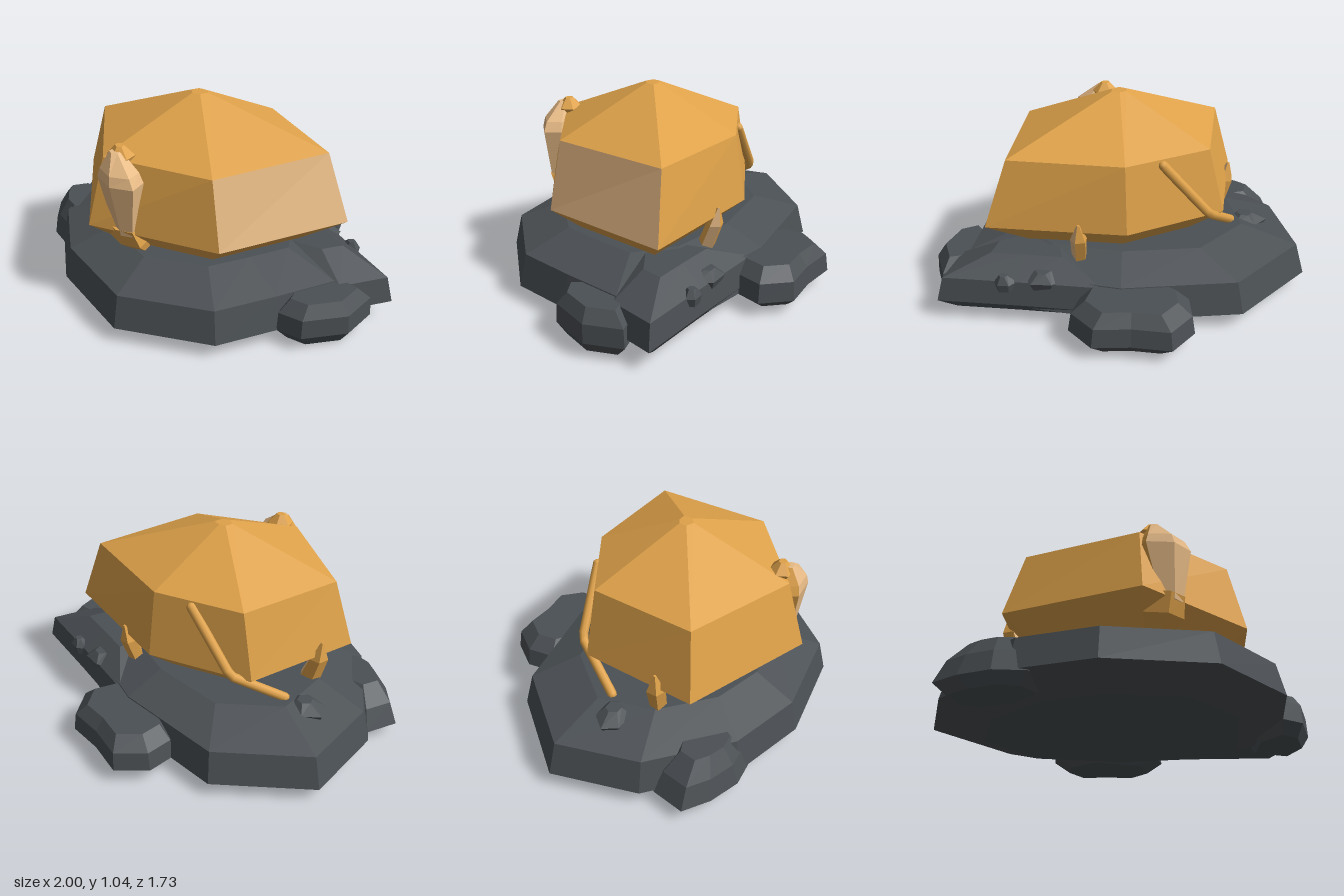
import * as THREE from 'three';

// Closed faceted solid from rings of [x, y, z]; rings run bottom to top.
// Facets whose normal passes isPale use the second material.
function loft(rings, isPale) {
  const n = rings[0].length;
  let area = 0;
  const widest = rings[1];
  for (let i = 0; i < n; i++) {
    const a = widest[i], b = widest[(i + 1) % n];
    area += a[2] * b[0] - b[2] * a[0];
  }
  const rs = area > 0 ? rings : rings.map((r) => [...r].reverse());
  const pos = [];
  const tri = (a, b, c) => pos.push(...a, ...b, ...c);
  const mid = (r) => [0, 1, 2].map((k) => r.reduce((s, p) => s + p[k], 0) / n);
  const bottom = rs[0], top = rs[rs.length - 1];
  const cb = mid(bottom), ct = mid(top);
  for (let i = 0; i < n; i++) {
    const j = (i + 1) % n;
    for (let k = 0; k < rs.length - 1; k++) {
      tri(rs[k][i], rs[k][j], rs[k + 1][j]);
      tri(rs[k][i], rs[k + 1][j], rs[k + 1][i]);
    }
    tri(cb, bottom[j], bottom[i]);
    tri(ct, top[i], top[j]);
  }
  const g = new THREE.BufferGeometry();
  g.setAttribute('position', new THREE.Float32BufferAttribute(pos, 3));
  g.computeVertexNormals();
  if (isPale) {
    const normal = new THREE.Vector3();
    for (let v = 0; v < pos.length / 3; v += 3) {
      normal.fromBufferAttribute(g.attributes.normal, v);
      g.addGroup(v, 3, isPale(normal) ? 1 : 0);
    }
  }
  return g;
}

// Ring made by scaling an [x, z] outline about a centre
const scaled = (outline, [cx, cz], y, s) =>
  outline.map(([x, z]) => [cx + (x - cx) * s, y, cz + (z - cz) * s]);

// Regular ring with its own centre and radii
const polygon = (sides, y, x, z, rx, rz = rx, turn = 0.3) =>
  Array.from({ length: sides }, (_, i) => {
    const a = turn + (i / sides) * Math.PI * 2;
    return [x + Math.cos(a) * rx, y, z + Math.sin(a) * rz];
  });

export function createModel() {
  const group = new THREE.Group();
  const material = (name, color) => {
    const m = new THREE.MeshStandardMaterial({ color });
    m.name = name;
    return m;
  };
  const rock = material('slate grey', 0x4b5054);
  const amber = material('amber', 0xdfa24a);
  const pale = material('pale amber', 0xe8bb86);

  const add = (name, geometry, mat) => {
    const m = new THREE.Mesh(geometry, mat);
    m.name = name;
    group.add(m);
  };
  const addRock = (name, outline, centre, levels) =>
    add(name, loft(levels.map(([y, s]) => scaled(outline, centre, y, s))), rock);
  const addCrystal = (name, sides, rows, isPale) =>
    add(name, loft(rows.map((r) => polygon(sides, ...r)), isPale), [amber, pale]);

  // Broad rock bed
  addRock('rockBed',
    [[-0.52, -0.64], [-0.96, -0.33], [-0.96, 0.13], [-0.69, 0.56], [-0.33, 0.785], [0.2, 0.86],
      [0.63, 0.585], [0.75, 0.27], [0.86, -0.05], [0.62, -0.36], [0.1, -0.58]],
    [-0.05, 0.1], [[0, 0.72], [0.08, 1], [0.25, 0.95], [0.335, 0.65]]);

  // Slab jutting out at the back left of the bed
  addRock('rockSlab',
    [[1, -0.28], [0.88, -0.03], [0.5, 0.1], [0.15, -0.2], [0.16, -0.54], [0.6, -0.4]],
    [0.5, -0.18], [[0.05, 0.8], [0.11, 1], [0.24, 0.93], [0.33, 0.42]]);

  // Boulders around the rim
  addRock('backBoulder',
    [[-0.1, -0.865], [0.09, -0.8], [0.28, -0.77], [0.37, -0.61], [0.27, -0.42], [-0.1, -0.42],
      [-0.26, -0.6], [-0.24, -0.75]],
    [0.05, -0.6], [[0.015, 0.72], [0.08, 1], [0.18, 0.95], [0.245, 0.72]]);
  addRock('leftBoulder',
    [[0.97, -0.15], [0.995, 0.05], [0.87, 0.25], [0.74, 0.285], [0.66, 0.1], [0.72, -0.14]],
    [0.82, 0.06], [[0.015, 0.75], [0.08, 1], [0.18, 0.97], [0.245, 0.7]]);
  addRock('rightBoulder',
    [[-0.92, 0.19], [-1, 0.35], [-0.9, 0.47], [-0.76, 0.57], [-0.6, 0.6], [-0.48, 0.5],
      [-0.6, 0.3], [-0.8, 0.18]],
    [-0.7, 0.4], [[0.015, 0.75], [0.07, 1], [0.18, 0.82], [0.27, 0.5]]);

  // Pebbles half sunk in the bed
  for (const [x, z, r, y] of [[-0.7, -0.08, 0.115, 0.26], [0.45, -0.37, 0.11, 0.2],
    [0.65, -0.36, 0.06, 0.19]]) {
    add('pebble', loft([polygon(6, y, x, z, r * 0.8, r * 0.6),
      polygon(6, y + 0.045, x, z, r, r * 0.75), polygon(6, y + 0.085, x + 0.01, z, r * 0.35)]), rock);
  }

  // Great six-sided crystal with one pale face
  const girdle = [[-0.705, 0.31], [-0.12, 0.75], [0.51, 0.45], [0.73, -0.22], [0.04, -0.43], [-0.5, -0.28]];
  const shoulder = [[-0.6, 0.28], [-0.105, 0.65], [0.43, 0.42], [0.605, -0.19], [0.04, -0.375], [-0.42, -0.25]];
  add('greatCrystal', loft([
    scaled(girdle, [0, 0.13], 0.31, 0.66),
    scaled(girdle, [0, 0.13], 0.48, 1),
    scaled(shoulder, [0, 0.13], 0.83, 1),
    scaled(shoulder, [-0.02, 0.1], 1.045, 0.075),
  ], (n) => n.x > 0.8 && n.y > 0), [amber, pale]);

  // Crystal bud on the front face, rows of y, x, z, radii
  addCrystal('frontCrystalFoot', 6, [
    [0.345, 0, 0.55, 0.09, 0.05],
    [0.4, 0, 0.6, 0.125, 0.07],
    [0.5, 0.01, 0.64, 0.11, 0.06],
  ], () => false);
  addCrystal('frontCrystal', 6, [
    [0.47, 0.04, 0.64, 0.07, 0.045],
    [0.75, 0.015, 0.64, 0.14, 0.09],
    [0.8, 0.01, 0.64, 0.115, 0.08],
    [0.885, -0.025, 0.63, 0.03, 0.03],
  ], (n) => n.x > -0.4);
  addCrystal('frontCrystalTip', 6, [
    [0.8, -0.03, 0.58, 0.05, 0.05],
    [0.855, -0.03, 0.595, 0.075, 0.065],
    [0.905, -0.03, 0.6, 0.025, 0.022],
  ], () => false);

  // Small crystals rising from the bed
  addCrystal('sideCrystal', 5, [
    [0.29, -0.57, 0.12, 0.065, 0.04],
    [0.46, -0.63, 0.12, 0.05, 0.05],
    [0.56, -0.645, 0.12, 0.008],
  ], (n) => n.x > 0.3);
  addCrystal('backCrystal', 5, [
    [0.28, 0.26, -0.29, 0.04, 0.05],
    [0.43, 0.27, -0.345, 0.045],
    [0.525, 0.275, -0.365, 0.008],
  ], (n) => n.x > 0.3 && n.z < 0.2);

  // Bent stem leaning on the great crystal
  const path = new THREE.CurvePath();
  const p = [[-0.16, 0.8, -0.328], [-0.41, 0.505, -0.335], [-0.595, 0.335, -0.12]]
    .map((v) => new THREE.Vector3(...v));
  for (let i = 0; i < 2; i++) path.add(new THREE.LineCurve3(p[i], p[i + 1]));
  add('bentStem', new THREE.TubeGeometry(path, 16, 0.025, 8), amber);
  for (const end of [p[0], p[2]]) {
    const tip = new THREE.SphereGeometry(0.025, 8, 6);
    tip.translate(end.x, end.y, end.z);
    add('stemTip', tip, amber);
  }
  return group;
}
